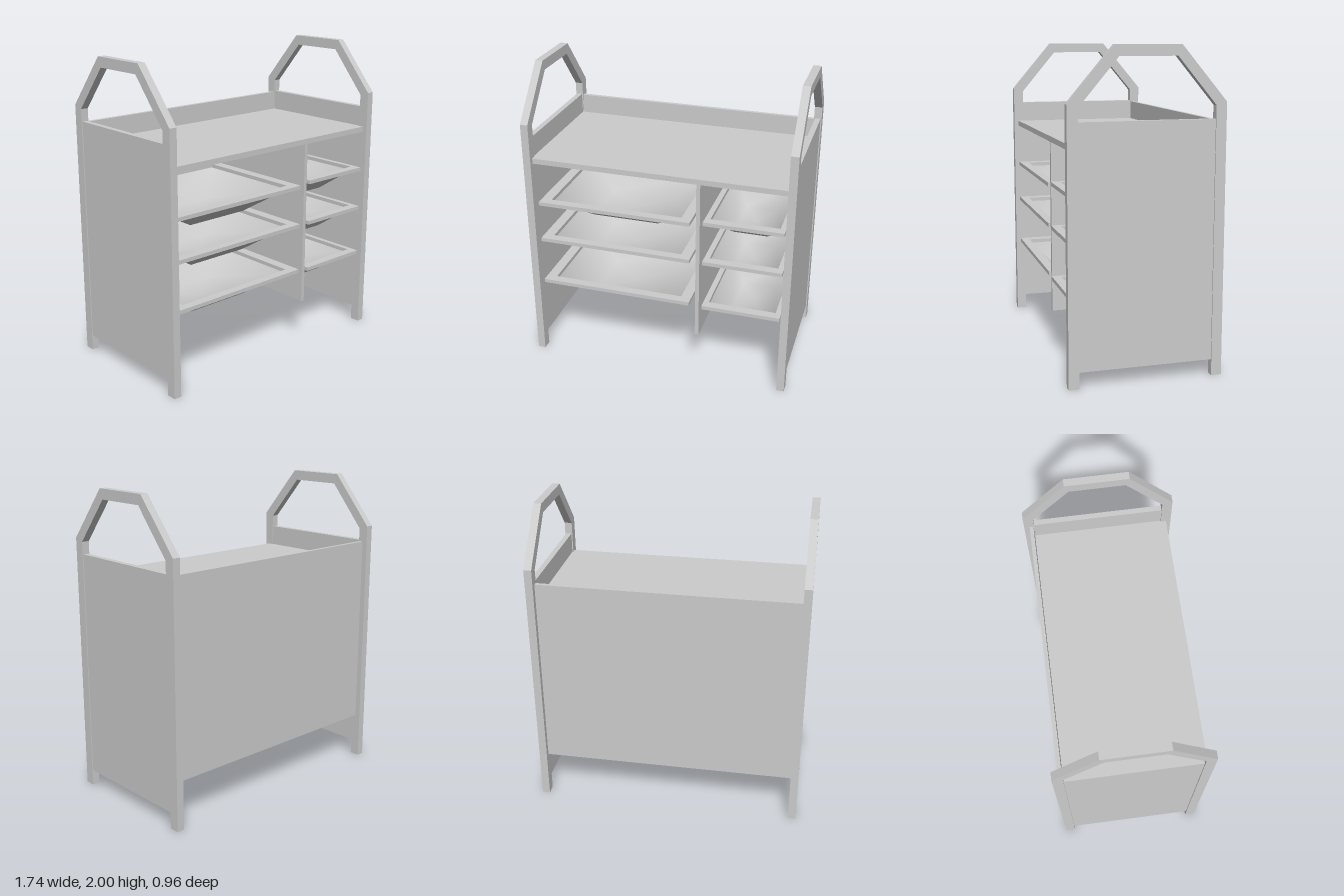
import * as THREE from 'three';
import { mergeVertices } from 'three/addons/utils/BufferGeometryUtils.js';

const material = new THREE.MeshStandardMaterial({ color: 0xcccccc });
const thinMaterial = new THREE.MeshStandardMaterial({ color: 0xcccccc, side: THREE.DoubleSide });

// Box given by its minimum and maximum corners
function box(name, [x0, y0, z0], [x1, y1, z1]) {
  const mesh = new THREE.Mesh(new THREE.BoxGeometry(x1 - x0, y1 - y0, z1 - z0), material);
  mesh.position.set((x0 + x1) / 2, (y0 + y1) / 2, (z0 + z1) / 2);
  mesh.name = name;
  return mesh;
}

function rectangle(PathType, w, d) {
  return new PathType([[-w, -d], [w, -d], [w, d], [-w, d]].map(([x, y]) => new THREE.Vector2(x / 2, y / 2)));
}

// Two posts joined by an angular handle, plus the infill panel
function sideFrame(name, side) {
  const group = new THREE.Group();
  group.name = name;
  const half = [[0.48, 0], [0.48, 1.67], [0.2, 2]];
  const inner = [[0.175, 1.935], [0.415, 1.65], [0.415, 0]];
  const mirror = (pts) => pts.map(([z, y]) => [-z, y]).reverse();
  const outline = [...half, ...mirror(half), ...mirror(inner), ...inner];
  const shape = new THREE.Shape(outline.map(([z, y]) => new THREE.Vector2(z, y)));
  const geometry = new THREE.ExtrudeGeometry(shape, { depth: 0.05, bevelEnabled: false });
  geometry.translate(0, 0, -0.025).rotateY(Math.PI / 2);
  const frame = new THREE.Mesh(geometry, material);
  frame.name = 'postsAndHandle';
  group.add(frame, box('sidePanel', [-0.018, 0.1, -0.415], [0.018, 1.57, 0.415]));
  group.position.x = side * 0.847;
  return group;
}

// Flat rim with a tapered bowl hanging from its opening
function tray(name, { x0, x1, bowlWidth, depth }, top) {
  const group = new THREE.Group();
  group.name = name;
  const rimHeight = 0.025, rimDepth = 0.865, bowlDepth = 0.75;

  const shape = rectangle(THREE.Shape, x1 - x0, rimDepth);
  shape.holes.push(rectangle(THREE.Path, bowlWidth, bowlDepth));
  const rimGeometry = new THREE.ExtrudeGeometry(shape, { depth: rimHeight, bevelEnabled: false });
  rimGeometry.rotateX(-Math.PI / 2).translate(0, -rimHeight, 0);
  const rim = new THREE.Mesh(rimGeometry, material);
  rim.name = 'trayRim';

  // Four-sided lathe, stretched to the opening and smoothly shaded
  const r = Math.SQRT1_2;
  const profile = [[0, -1], [r / 2, -1], [r, 0]].map(([x, y]) => new THREE.Vector2(x, y));
  let bowlGeometry = new THREE.LatheGeometry(profile, 4, Math.PI / 4);
  bowlGeometry.deleteAttribute('normal');
  bowlGeometry.deleteAttribute('uv');
  bowlGeometry = mergeVertices(bowlGeometry);
  bowlGeometry.scale(bowlWidth, depth, bowlDepth);
  bowlGeometry.computeVertexNormals();
  const bowl = new THREE.Mesh(bowlGeometry, thinMaterial);
  bowl.position.y = -rimHeight;
  bowl.name = 'trayBowl';

  group.add(rim, bowl);
  group.position.set((x0 + x1) / 2, top, 0.02);
  return group;
}

export function createModel() {
  const model = new THREE.Group();
  model.name = 'storageCart';

  model.add(sideFrame('leftSide', 1), sideFrame('rightSide', -1));

  // Carcass
  model.add(
    box('tabletop', [-0.83, 1.4, -0.42], [0.83, 1.435, 0.45]),
    box('backPanel', [-0.83, 0.3, -0.445], [0.83, 1.563, -0.42]),
    box('divider', [0.255, 0.305, -0.42], [0.28, 1.4, 0.445]),
  );

  // Wide and narrow tray columns
  const wide = { x0: -0.8, x1: 0.215, bowlWidth: 0.88, depth: 0.145 };
  const narrow = { x0: 0.3, x1: 0.81, bowlWidth: 0.44, depth: 0.145 };
  [1.132, 0.868, 0.55].forEach((y, i) => model.add(tray(`wideTray${i + 1}`, wide, y)));
  [1.15, 0.87, 0.54].forEach((y, i) => model.add(tray(`narrowTray${i + 1}`, narrow, y)));

  return model;
}
